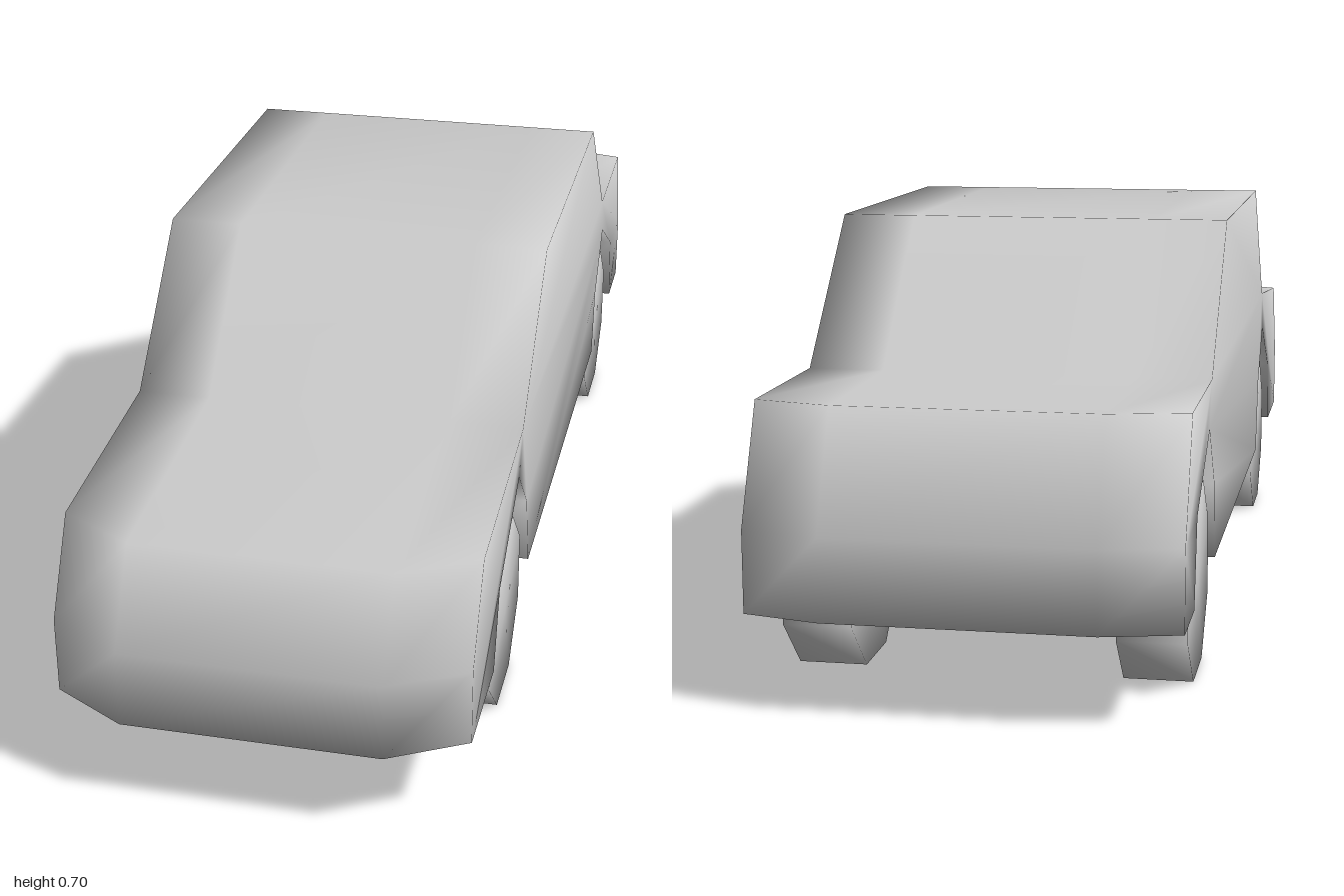
import * as THREE from 'three';
import { mergeVertices } from 'three/addons/utils/BufferGeometryUtils.js';

const HALF_WIDTH = 0.335, INNER = 0.21;

// Side profile as [z, y]: up the nose, over the roof, down the tail.
const upper = [
  [1, 0.15], [1, 0.28], [0.92, 0.43], [0.48, 0.465], [0.26, 0.7],
  [-0.37, 0.7], [-0.6, 0.465], [-0.92, 0.465], [-1, 0.28], [-1, 0.15],
];
// Wheel arches from back to front; the third point is the peak.
const rearArch = [[-0.84, 0.15], [-0.81, 0.29], [-0.63, 0.39], [-0.54, 0.28], [-0.52, 0.15]];
const frontArch = [[0.37, 0.15], [0.41, 0.29], [0.51, 0.39], [0.69, 0.28], [0.73, 0.15]];

function bodyGeometry() {
  const profile = [...upper, ...rearArch, ...frontArch];
  const n = profile.length;
  const starts = [upper.length, upper.length + rearArch.length];

  // Outer sections pull in at the ends to chamfer the corners.
  const outer = profile.map(([z, y]) => [z > 0.85 ? z - 0.07 : z < -0.85 ? z + 0.03 : z, y]);
  // Inner sections have lower arch ceilings.
  const inner = profile.map((p) => [...p]);
  inner[starts[0] + 2] = [-0.665, 0.315];
  inner[starts[1] + 2] = [0.55, 0.315];

  const positions = [], index = [];
  const columns = [[-HALF_WIDTH, outer], [-INNER, inner], [INNER, inner], [HALF_WIDTH, outer]];
  for (const [x, pts] of columns) for (const [z, y] of pts) positions.push(x, y, z);

  const strip = (c, i, j) => {
    const a = c * n + i, b = a + n, d = c * n + j, e = d + n;
    index.push(a, b, e, a, e, d);
  };

  // Edge strips follow the arches; the centre bridges straight across them.
  for (let i = 0; i < n; i++) {
    strip(0, i, (i + 1) % n);
    strip(2, i, (i + 1) % n);
  }
  const straight = [...profile.keys()].filter((i) => !starts.some((s) => i > s && i < s + 4));
  straight.forEach((i, k) => strip(1, i, straight[(k + 1) % straight.length]));

  // Inner walls of the wheel wells.
  for (const s of starts) {
    for (let k = 1; k < 4; k++) {
      index.push(2 * n + s, 2 * n + s + k, 2 * n + s + k + 1);
      index.push(n + s, n + s + k + 1, n + s + k);
    }
  }

  // Flat sides.
  const contour = outer.map(([z, y]) => new THREE.Vector2(z, y));
  for (const [a, b, c] of THREE.ShapeUtils.triangulateShape(contour, [])) {
    const [A, B, C] = [contour[a], contour[b], contour[c]];
    const ccw = (B.x - A.x) * (C.y - A.y) - (B.y - A.y) * (C.x - A.x) > 0;
    const [p, q] = ccw ? [b, c] : [c, b];
    index.push(a, p, q, 3 * n + a, 3 * n + q, 3 * n + p);
  }

  const geometry = new THREE.BufferGeometry();
  geometry.setAttribute('position', new THREE.Float32BufferAttribute(positions, 3));
  geometry.setIndex(index);
  geometry.computeVertexNormals();
  return geometry;
}

// Eight-sided wheel resting on a flat, with normals smoothed over its edges.
function wheelGeometry() {
  const radius = 0.15 / Math.cos(Math.PI / 8);
  const geometry = new THREE.CylinderGeometry(radius, radius, 0.112, 8, 1, false, Math.PI / 8);
  geometry.rotateZ(Math.PI / 2);
  geometry.deleteAttribute('uv');
  geometry.deleteAttribute('normal');
  const merged = mergeVertices(geometry, 1e-4);
  merged.computeVertexNormals();
  return merged;
}

export function createModel() {
  const car = new THREE.Group();
  car.name = 'car';
  const material = new THREE.MeshStandardMaterial({ color: 0xcccccc });

  const body = new THREE.Mesh(bodyGeometry(), material);
  body.name = 'body';
  car.add(body);

  const wheel = wheelGeometry();
  for (const [end, z] of [['front', 0.548], ['rear', -0.665]]) {
    for (const [side, sign] of [['Left', 1], ['Right', -1]]) {
      const mesh = new THREE.Mesh(wheel, material);
      mesh.name = `${end}${side}Wheel`;
      mesh.position.set(sign * 0.267, 0.15, z);
      car.add(mesh);
    }
  }
  return car;
}
